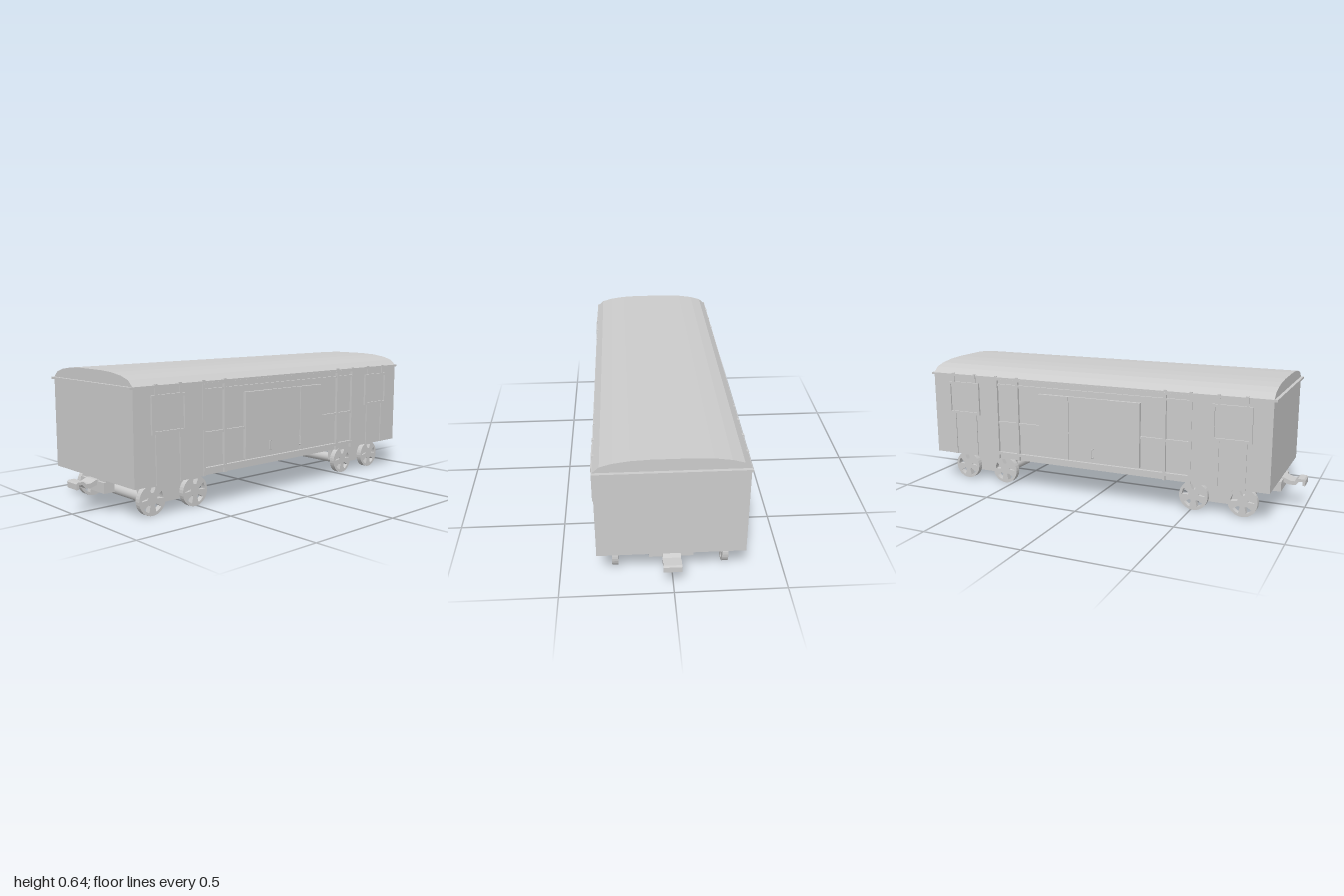
import * as THREE from 'three';

const mat = new THREE.MeshStandardMaterial({ color: 0xcccccc, flatShading: true });
const smooth = new THREE.MeshStandardMaterial({ color: 0xcccccc });

function add(parent, name, geo, material = mat) {
  const m = new THREE.Mesh(geo, material);
  m.name = name;
  parent.add(m);
  return m;
}

// Box given by its limits on each axis
function box(parent, name, x0, x1, y0, y1, z0, z1) {
  const m = add(parent, name, new THREE.BoxGeometry(Math.abs(x1 - x0), y1 - y0, Math.abs(z1 - z0)));
  m.position.set((x0 + x1) / 2, (y0 + y1) / 2, (z0 + z1) / 2);
  return m;
}

// Extrude a (z, y) outline across the width, centred on x
function sideExtrude(points, width, holes = [], curveSegments = 12) {
  const shape = new THREE.Shape(points.map(([z, y]) => new THREE.Vector2(-z, y)));
  shape.holes.push(...holes);
  const g = new THREE.ExtrudeGeometry(shape, { depth: width, bevelEnabled: false, curveSegments });
  return g.translate(0, 0, -width / 2).rotateY(Math.PI / 2);
}

function wheelGeometry() {
  const R = 0.0715, rim = [], holes = [];
  for (let i = 0; i < 32; i++) {
    const a = (i / 32) * Math.PI * 2;
    rim.push([R * Math.cos(a), R * Math.sin(a)]);
  }
  // five tapered openings between the spokes
  for (let i = 0; i < 5; i++) {
    const a = Math.PI / 2 + (i * Math.PI * 2) / 5;
    const h = new THREE.Path();
    h.absarc(0, 0, 0.058, a - 0.3, a + 0.3, false);
    h.absarc(0, 0, 0.026, a + 0.16, a - 0.16, true);
    h.closePath();
    holes.push(h);
  }
  return sideExtrude(rim, 0.028, holes, 6);
}

// Everything fixed to one side wall; s = +1 or -1
function buildSide(s) {
  const side = new THREE.Group();
  side.name = s > 0 ? 'leftSide' : 'rightSide';
  const W = 0.315, P = 0.325;
  const strip = (name, out, y0, y1, z0, z1, inner = W - 0.005) =>
    box(side, name, s * inner, s * out, y0, y1, z0, z1);

  // thicker wall at both ends
  strip('endPanel', P, 0.153, 0.576, 0.515, 0.89);
  strip('endPanel', P, 0.153, 0.576, -0.92, -0.545);

  // framed middle section
  for (const z of [0.51, 0.383, -0.415, -0.538])
    strip('wallPost', 0.328, 0.153, 0.59, z - 0.007, z + 0.007);
  strip('topRail', 0.325, 0.54, 0.55, -0.538, 0.51);
  strip('eaveRail', 0.329, 0.568, 0.577, -0.538, 0.51);
  strip('lowerRail', 0.329, 0.176, 0.19, -0.538, 0.51);
  strip('middleRail', 0.325, 0.342, 0.354, 0.26, 0.51);
  strip('middleRail', 0.325, 0.342, 0.354, -0.538, -0.286);

  // three-leaf door
  strip('doorLeaf', 0.332, 0.198, 0.517, 0.1, 0.26);
  strip('doorLeaf', 0.327, 0.198, 0.517, -0.12, 0.1);
  strip('doorLeaf', 0.332, 0.198, 0.517, -0.286, -0.12);

  // windows with their posts
  for (const zc of [0.707, -0.734]) {
    for (const d of [-0.065, 0.065]) {
      const z = zc + d;
      strip('windowPost', 0.33, 0.153, 0.38, z - 0.007, z + 0.007);
      strip('windowPost', 0.33, 0.54, 0.59, z - 0.007, z + 0.007);
    }
    const a = 0.094, t = 0.013;
    strip('windowFrame', 0.335, 0.375, 0.375 + t, zc - a, zc + a);
    strip('windowFrame', 0.335, 0.545 - t, 0.545, zc - a, zc + a);
    for (const d of [-1, 1])
      strip('windowFrame', 0.335, 0.375 + t, 0.545 - t, zc + d * a, zc + d * (a - t));
    strip('windowPane', 0.327, 0.385, 0.535, zc - a + 0.01, zc + a - 0.01);
  }
  return side;
}

// Bent-bar handle through a few points
function handle(parent, pts) {
  const path = new THREE.CurvePath();
  const v = pts.map((p) => new THREE.Vector3(...p));
  for (let i = 1; i < v.length; i++) path.add(new THREE.LineCurve3(v[i - 1], v[i]));
  add(parent, 'doorHandle', new THREE.TubeGeometry(path, 24, 0.003, 6), smooth);
}

function buildTruck(zc, half) {
  const truck = new THREE.Group();
  truck.name = 'truck';
  truck.position.z = zc;
  const wheel = wheelGeometry();
  for (const z of [-half, half]) {
    const axle = add(truck, 'axle', new THREE.CylinderGeometry(0.026, 0.026, 0.48, 20), smooth);
    axle.rotation.z = Math.PI / 2;
    axle.position.set(0, 0.0715, z);
    for (const x of [-0.2465, 0.2465])
      add(truck, 'wheel', wheel).position.set(x, 0.0715, z);
  }
  const frame = sideExtrude([[-0.155, 0.155], [-0.155, 0.065], [-0.065, 0.036],
    [0.065, 0.036], [0.155, 0.065], [0.155, 0.155]], 0.02);
  for (const x of [-0.2, 0.2]) add(truck, 'truckFrame', frame).position.x = x;
  return truck;
}

// Draft box and curved hook; built toward +z
function buildCoupler() {
  const c = new THREE.Group();
  c.name = 'coupler';
  const hook = sideExtrude([[0.84, 0.148], [0.9, 0.148], [0.93, 0.136], [0.95, 0.136], [0.965, 0.15],
    [0.994, 0.15], [1.0, 0.143], [1.0, 0.117], [0.989, 0.117], [0.987, 0.136], [0.972, 0.137],
    [0.955, 0.118], [0.925, 0.116], [0.895, 0.125], [0.84, 0.125]], 0.08);
  add(c, 'hook', hook);
  return c;
}

export function createModel() {
  const model = new THREE.Group();
  model.name = 'railwayCar';
  const car = new THREE.Group();
  car.name = 'car';
  car.position.x = 0.007;
  model.add(car);

  // body and eave
  box(car, 'body', -0.315, 0.315, 0.153, 0.578, -0.92, 0.89);
  box(car, 'eave', -0.328, 0.328, 0.575, 0.585, -0.935, 0.905);

  // arched roof
  const half = [[0.327, 0.584], [0.295, 0.612], [0.243, 0.627], [0.171, 0.637], [0.09, 0.641]];
  const outline = [...half, ...half.map(([x, y]) => [-x, y]).reverse()];
  const roof = new THREE.ExtrudeGeometry(
    new THREE.Shape(outline.map(([x, y]) => new THREE.Vector2(x, y))),
    { depth: 1.81, bevelEnabled: false });
  add(car, 'roof', roof.translate(0, 0, -0.92));

  for (const s of [1, -1]) car.add(buildSide(s));

  // door handles
  for (const [z, d] of [[0.1, -0.012], [-0.12, 0.012]])
    handle(car, [[0.333, 0.222, z + d], [0.333, 0.222, z], [0.333, 0.267, z], [0.333, 0.267, z + d]]);
  handle(car, [[-0.325, 0.222, 0.015], [-0.349, 0.222, 0.015],
    [-0.349, 0.265, 0.015], [-0.325, 0.265, 0.015]]);

  // running gear
  car.add(buildTruck(0.632, 0.12), buildTruck(-0.661, 0.118));

  // couplers and their mounts
  const front = buildCoupler(), back = buildCoupler();
  back.rotation.y = Math.PI;
  car.add(front, back);
  box(car, 'frontCouplerBox', -0.098, 0.098, 0.094, 0.143, 0.842, 0.897);
  box(car, 'frontCouplerMount', -0.098, 0.098, 0.14, 0.156, 0.842, 0.885);
  box(car, 'backCouplerBox', -0.098, 0.098, 0.117, 0.156, -0.897, -0.855);
  return model;
}
